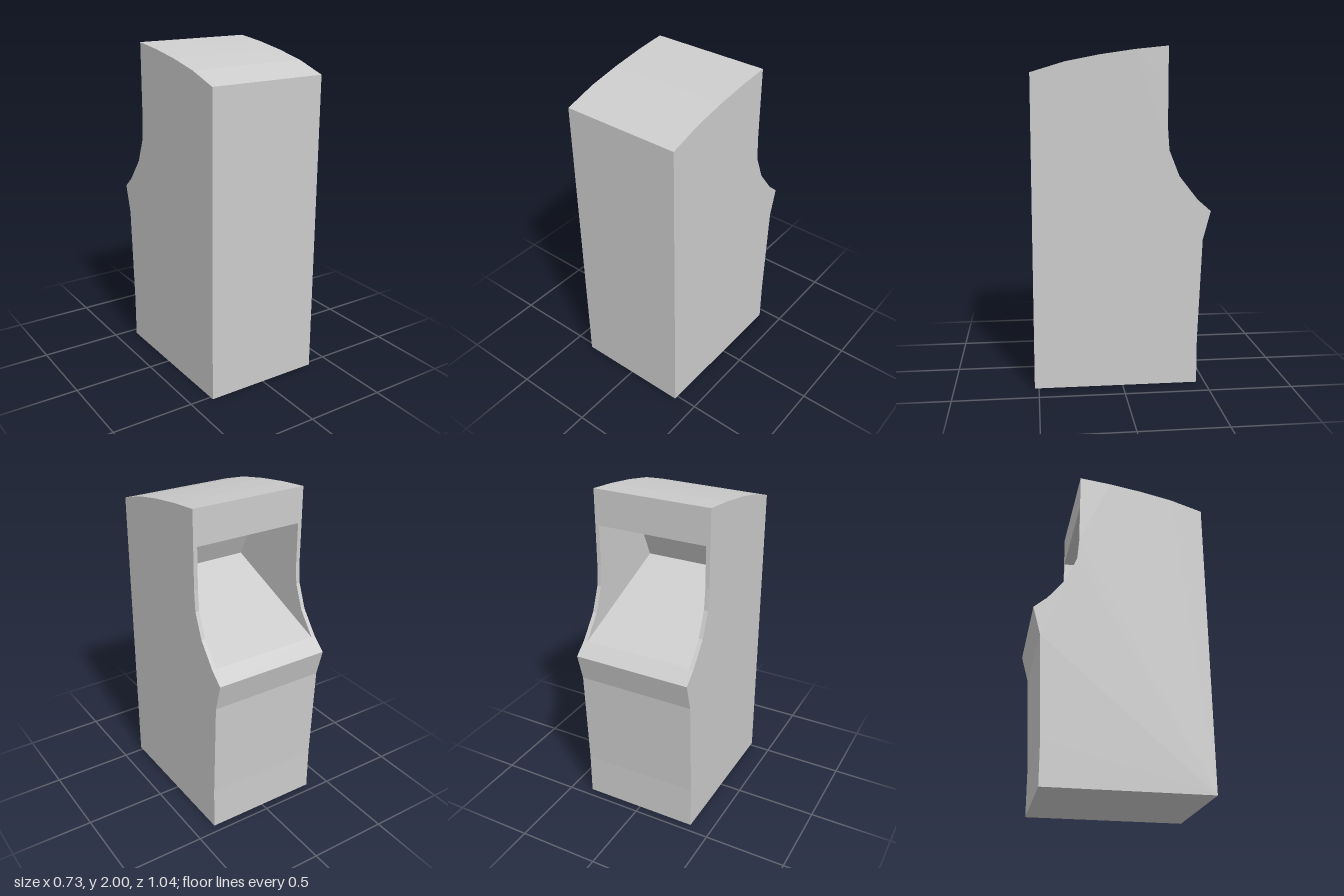
import * as THREE from 'three';

const OUT = 0.365; // half width of the cabinet
const IN = 0.34;   // half width between the side panels

// Profile points are [z, y]
const base = [[-0.45, 0], [0.525, 0]];
const rearWall = [[0.525, 0], [0.525, 1.85]];
const roof = [[0.525, 1.85], [0.33, 1.91], [0.13, 1.95], [-0.07, 1.98], [-0.26, 2]];
const marquee = [[-0.26, 2], [-0.26, 1.785]];
const rim = [[-0.26, 1.785], [-0.26, 1.54], [-0.27, 1.41], [-0.33, 1.26], [-0.44, 1.12]];
const lip = [[-0.44, 1.12], [-0.52, 1.05]];
const lowerPanel = [[-0.52, 1.05], [-0.475, 0.88], [-0.45, 0.27], [-0.45, 0]];
const ceiling = [[-0.26, 1.785], [0.134, 1.785]];
const screen = [[0.134, 1.785], [0.316, 1.41]];
const deck = [[0.316, 1.41], [-0.44, 1.12]];

// Flat-faced band along a profile, running from x0 to x1
function band(points, x0, x1) {
  const pos = [];
  for (let i = 0; i < points.length - 1; i++) {
    const [z0, y0] = points[i];
    const [z1, y1] = points[i + 1];
    pos.push(x0, y0, z0, x1, y0, z0, x1, y1, z1);
    pos.push(x0, y0, z0, x1, y1, z1, x0, y1, z1);
  }
  const geometry = new THREE.BufferGeometry();
  geometry.setAttribute('position', new THREE.Float32BufferAttribute(pos, 3));
  geometry.computeVertexNormals();
  return geometry;
}

// Flat panel at a given x, facing +x (dir 1) or -x (dir -1)
function panel(points, x, dir) {
  const shape = new THREE.Shape(points.map(([z, y]) => new THREE.Vector2(-dir * z, y)));
  return new THREE.ShapeGeometry(shape).rotateY(dir * Math.PI / 2).translate(x, 0, 0);
}

export function createModel() {
  const group = new THREE.Group();
  group.name = 'arcadeCabinet';
  const grey = new THREE.MeshStandardMaterial({ color: 0xcccccc });
  grey.name = 'lightGrey';

  const add = (name, geometry) => {
    const mesh = new THREE.Mesh(geometry, grey);
    mesh.name = name;
    group.add(mesh);
  };

  // Full-width outer skin
  const skin = { base, rearWall, roof, marquee, lip, lowerPanel };
  for (const [name, points] of Object.entries(skin)) add(name, band(points, -OUT, OUT));

  // Recess between the side panels
  const recess = { recessCeiling: ceiling, screen, controlDeck: deck };
  for (const [name, points] of Object.entries(recess)) add(name, band(points, -IN, IN));

  // Side panels: outer face, inner recess face and the curved edge between them
  const outline = [...rearWall, ...roof.slice(1), ...rim, ...lip.slice(1), ...lowerPanel.slice(1)];
  const opening = [...ceiling, screen[1], ...rim.slice(1).reverse()];
  for (const s of [1, -1]) {
    const side = s > 0 ? 'left' : 'right';
    add(side + 'SidePanel', panel(outline, s * OUT, s));
    add(side + 'RecessWall', panel(opening, s * IN, -s));
    add(side + 'PanelEdge', s > 0 ? band(rim, IN, OUT) : band(rim, -OUT, -IN));
  }
  return group;
}
